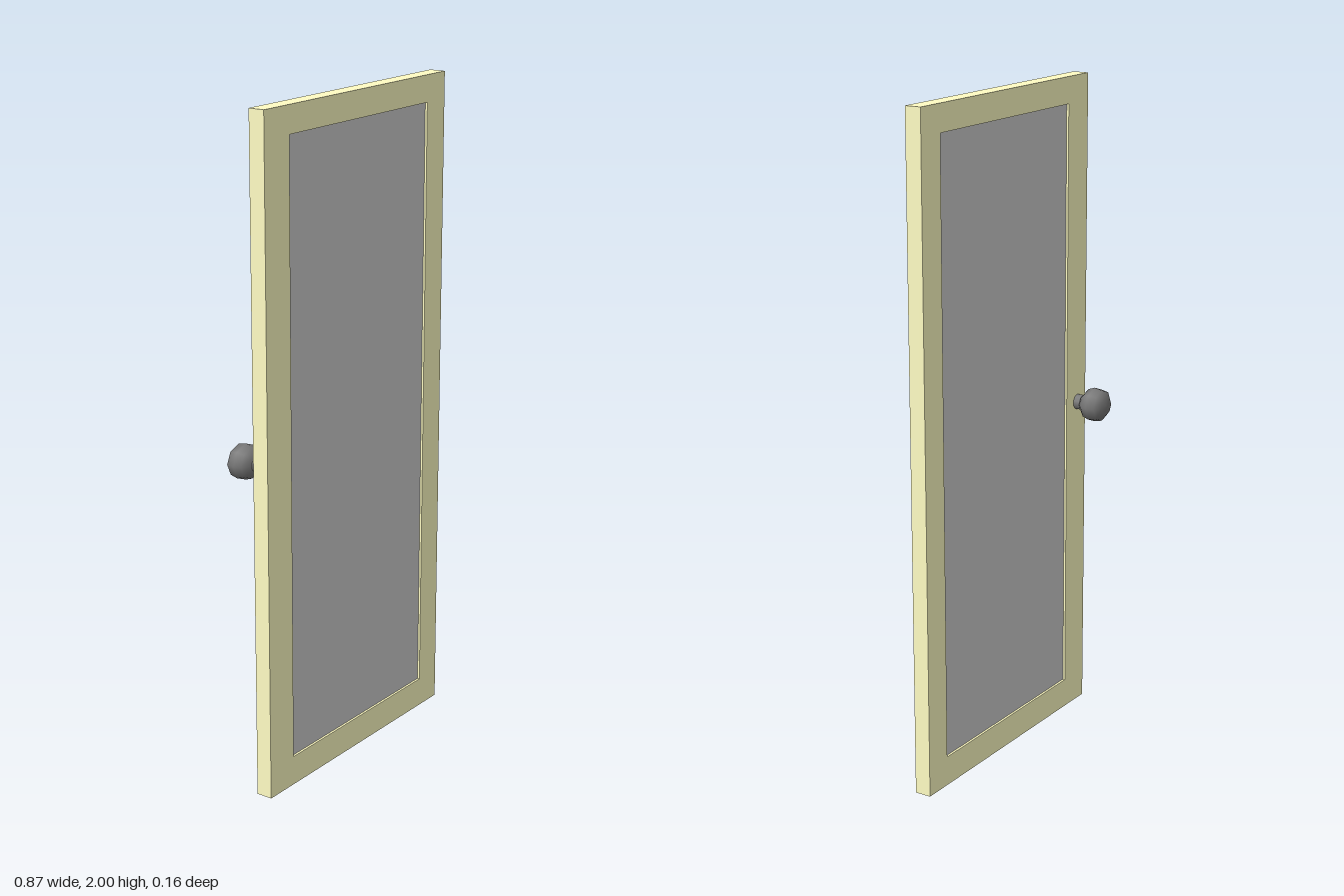
import * as THREE from 'three';

const material = (color) => new THREE.MeshStandardMaterial({ color });

function part(name, geometry, mat) {
  const mesh = new THREE.Mesh(geometry, mat);
  mesh.name = name;
  return mesh;
}

// Closed rectangle from corner to corner, as a Shape or a hole Path
function rectangle(path, x0, y0, x1, y1) {
  path.moveTo(x0, y0);
  path.lineTo(x1, y0);
  path.lineTo(x1, y1);
  path.lineTo(x0, y1);
  path.closePath();
  return path;
}

export function createModel() {
  const group = new THREE.Group();
  group.name = 'door';
  const back = 0.027, front = 0.077;
  const opening = [-0.315, 0.09, 0.345, 1.92];

  // Frame: one slab with a rectangular opening
  const outline = rectangle(new THREE.Shape(), -0.424, 0, 0.435, 2);
  outline.holes.push(rectangle(new THREE.Path(), ...opening));
  const frameGeometry = new THREE.ExtrudeGeometry(outline, { depth: front - back, bevelEnabled: false });
  frameGeometry.translate(0, 0, back);
  group.add(part('frame', frameGeometry, material(0xfffcc3)));

  // Panel: fills the opening, slightly recessed on both faces
  const recess = 0.007;
  const [x0, y0, x1, y1] = opening;
  const panel = part('panel', new THREE.BoxGeometry(x1 - x0, y1 - y0, front - back - 2 * recess), material(0xcccccc));
  panel.position.set((x0 + x1) / 2, (y0 + y1) / 2, (front + back) / 2);
  group.add(panel);

  // Knob on the back: a faceted, smoothly shaded ball on a short stem
  const knob = new THREE.Group();
  knob.name = 'knob';
  knob.position.set(-0.378, 0.998, back);
  knob.rotation.x = -Math.PI / 2; // profile axis points to the back
  const metal = material(0x777777);

  const stem = part('knobStem', new THREE.CylinderGeometry(0.024, 0.024, 0.034, 10), metal);
  stem.position.y = 0.017;
  knob.add(stem);

  const profile = [
    [0, 0.022], [0.03, 0.024], [0.05, 0.041], [0.058, 0.062],
    [0.052, 0.088], [0.03, 0.103], [0, 0.106],
  ].map(([r, y]) => new THREE.Vector2(r, y));
  const ball = part('knobBall', new THREE.LatheGeometry(profile, 8), metal);
  ball.scale.z = 0.92;
  knob.add(ball);

  group.add(knob);
  return group;
}
